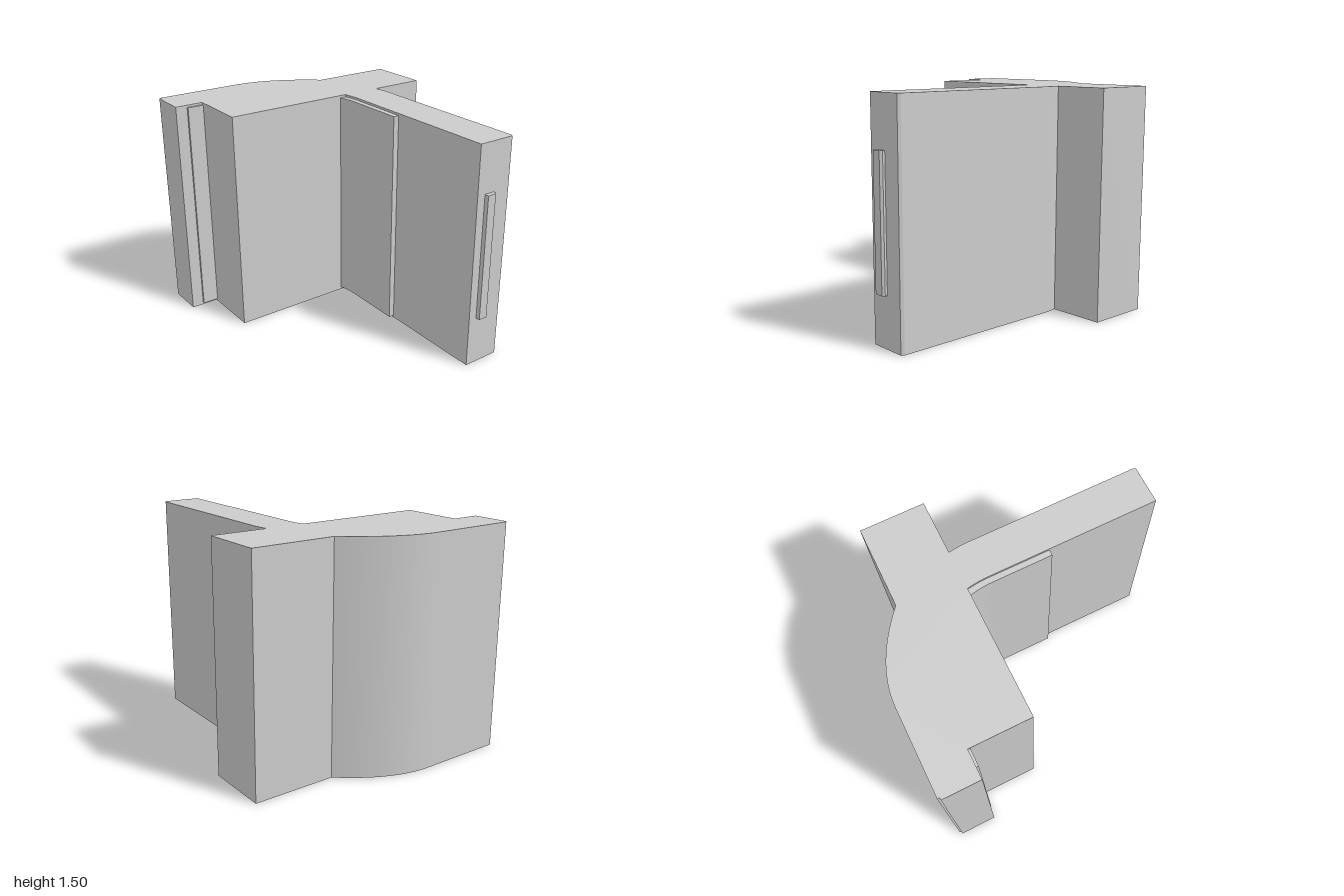
import * as THREE from 'three';
import { toCreasedNormals } from 'three/addons/utils/BufferGeometryUtils.js';

const material = new THREE.MeshStandardMaterial({ color: 0xcccccc });

// Extrude a plan outline (drawn in x and -z) upward from y0 to y1
function upright(name, shape, y0, y1) {
  const geometry = new THREE.ExtrudeGeometry(shape, {
    depth: y1 - y0, bevelEnabled: false, curveSegments: 24,
  });
  geometry.rotateX(-Math.PI / 2);
  geometry.translate(0, y0, 0);
  const mesh = new THREE.Mesh(toCreasedNormals(geometry, 0.2), material);
  mesh.name = name;
  return mesh;
}

// Straight-sided outline from [x, z] pairs
const outline = (points) => new THREE.Shape(points.map(([x, z]) => new THREE.Vector2(x, -z)));

export function createModel() {
  const group = new THREE.Group();
  group.name = 'profileBlock';

  // Main section: stepped head with a rounded back shoulder, and a long stem
  const body = new THREE.Shape();
  const line = (...points) => points.forEach(([x, z]) => body.lineTo(x, -z));
  body.moveTo(-0.855, 0.735);
  line([-0.855, -0.985], [-0.84, -0.985], [-0.84, -1], [-0.27, -1]);
  body.quadraticCurveTo(0.015, 1, 0.305, 0.75);
  line([0.855, -0.75], [0.855, -0.325], [0.48, -0.325]);
  body.quadraticCurveTo(0.492, 0.25, 0.492, 0.19);
  line([0.492, 0.95], [0.482, 0.97], [0.228, 0.97], [0.228, -0.19]);
  body.quadraticCurveTo(0.228, 0.25, 0.214, 0.325);
  line([-0.665, -0.325], [-0.665, -0.735]);
  body.closePath();
  group.add(upright('body', body, 0, 1.5));

  // Thin pad along the side of the stem, following its flare
  const pad = new THREE.Shape();
  pad.moveTo(0.172, 0.325);
  pad.quadraticCurveTo(0.19, 0.25, 0.19, 0.18);
  pad.lineTo(0.19, -0.23);
  pad.lineTo(0.23, -0.23);
  pad.lineTo(0.23, 0.325);
  pad.closePath();
  group.add(upright('sidePad', pad, 0.015, 1.485));

  // Shallow pad inside the step of the head
  group.add(upright('stepPad',
    outline([[-0.775, -0.74], [-0.66, -0.74], [-0.66, -0.72], [-0.775, -0.72]].map(
      ([x, z]) => [Math.min(x, -0.665), z])), 0.015, 1.485));

  // Raised bar on the end of the stem, chamfered on one edge
  group.add(upright('frontBar',
    outline([[0.287, 0.965], [0.287, 1], [0.348, 1], [0.36, 0.985], [0.36, 0.965]]), 0.33, 1.175));

  return group;
}
